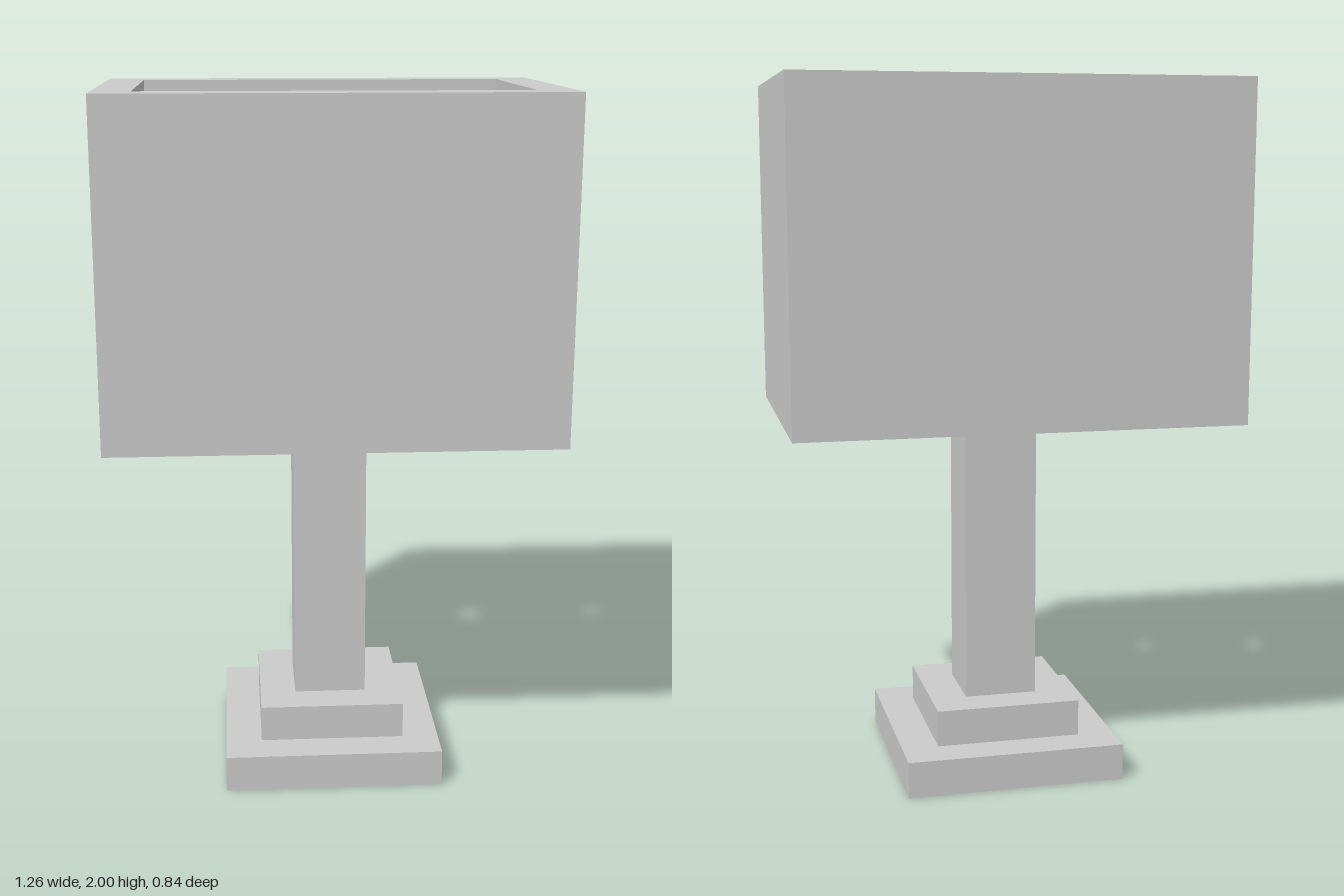
import * as THREE from 'three';

const U = 2 / 19; // modular unit: the lamp is 19 units tall

export function createModel() {
  const lamp = new THREE.Group();
  lamp.name = 'tableLamp';
  const material = new THREE.MeshStandardMaterial({ color: 0xcccccc, flatShading: true });

  const add = (name, geometry, y) => {
    const mesh = new THREE.Mesh(geometry, material);
    mesh.name = name;
    mesh.position.y = y * U;
    lamp.add(mesh);
  };

  // Square blocks stacked from the ground: [name, width, bottom, top] in units
  const blocks = [
    ['basePlate', 6, 0, 1],
    ['baseStep', 4, 1, 2],
    ['post', 2, 2, 17],
  ];
  for (const [name, width, bottom, top] of blocks) {
    add(name, new THREE.BoxGeometry(width * U, (top - bottom) * U, width * U), (bottom + top) / 2);
  }

  // Rectangular shade, open at top and bottom, with walls one unit thick
  const rectangle = (PathType, w, d) => new PathType([
    new THREE.Vector2(-w / 2 * U, -d / 2 * U),
    new THREE.Vector2(w / 2 * U, -d / 2 * U),
    new THREE.Vector2(w / 2 * U, d / 2 * U),
    new THREE.Vector2(-w / 2 * U, d / 2 * U),
  ]);
  const outline = rectangle(THREE.Shape, 12, 8);
  outline.holes.push(rectangle(THREE.Path, 10, 6));
  const shade = new THREE.ExtrudeGeometry(outline, { depth: 9 * U, bevelEnabled: false });
  shade.rotateX(-Math.PI / 2);
  add('shade', shade, 10);

  return lamp;
}
